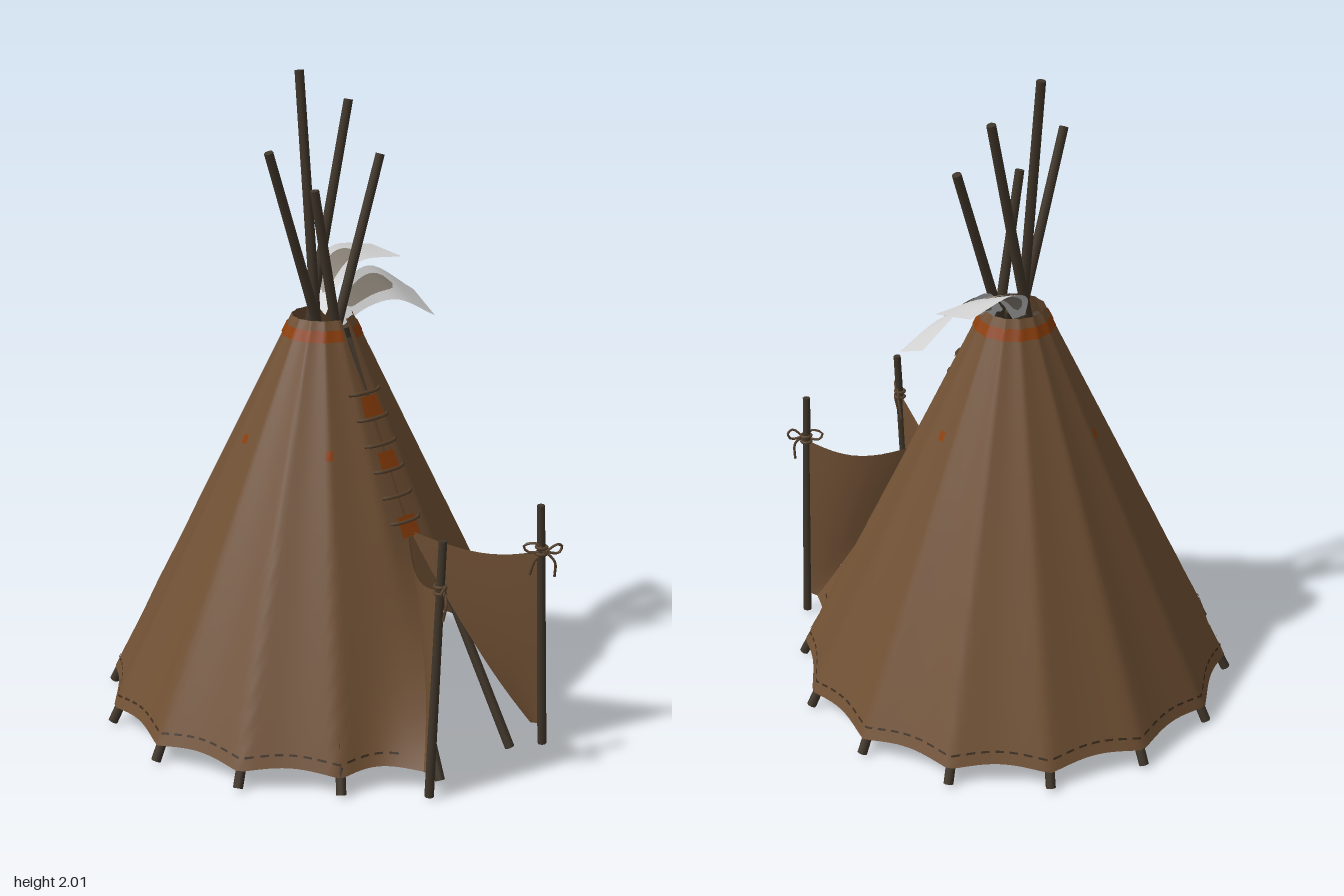
import * as THREE from 'three';
import { mergeGeometries } from 'three/addons/utils/BufferGeometryUtils.js';

const V = (x, y, z) => new THREE.Vector3(x, y, z);
const mat = (name, color, side = THREE.FrontSide) => {
  const m = new THREE.MeshStandardMaterial({ color, side });
  m.name = name;
  return m;
};

const PANELS = 14, CENTRE_Z = -0.04, Y0 = 0.05, Y1 = 1.27, DOOR_TOP = 0.66;
const FIRST_POLE = (1.5 * 2 * Math.PI) / PANELS; // first pole beside the doorway

// Half angle of the slit and doorway at a given height fraction
function openAngle(t) {
  const y = Y0 + (Y1 - Y0) * t;
  if (y < DOOR_TOP) return 0.012 + 0.318 * (DOOR_TOP - y) / (DOOR_TOP - Y0);
  return 0.012 + 0.1 * ((y - DOOR_TOP) / (Y1 - DOOR_TOP)) ** 3;
}

// Point on the hide: theta from the front towards +x, t from hem to smoke hole
function hide(theta, t, lift = 0) {
  const a = Math.abs(Math.atan2(Math.sin(theta), Math.cos(theta)));
  const sag = Math.abs(Math.cos(a * PANELS / 2));
  let f = 1 - (a < Math.PI / PANELS ? 0.02 : 0.045) * sag;
  const y = Y0 + 0.016 * sag * (1 - t) + (Y1 - Y0) * t;
  const open = Math.max(0, (DOOR_TOP - y) / (DOOR_TOP - Y0));
  if (a < FIRST_POLE && open > 0) {
    const a0 = openAngle(t);
    const w = THREE.MathUtils.clamp((a - a0) / (FIRST_POLE - a0), 0, 1);
    const pulled = 1 - 0.06 * Math.sin(Math.PI * w) + 0.055 * (1 - w) ** 2;
    f = THREE.MathUtils.lerp(f, pulled, open);
  }
  const r = (0.685 - 0.59 * t) * f + lift;
  return V(Math.sin(theta) * r, y + lift * 0.45, CENTRE_Z + Math.cos(theta) * r);
}

// Grid surface from a rule fn(u, v)
function surface(fn, nu, nv) {
  const pos = [], index = [];
  for (let j = 0; j <= nv; j++)
    for (let i = 0; i <= nu; i++) pos.push(...fn(i / nu, j / nv).toArray());
  for (let j = 0; j < nv; j++)
    for (let i = 0; i < nu; i++) {
      const a = j * (nu + 1) + i, b = a + 1, c = a + nu + 1, d = c + 1;
      index.push(a, b, d, a, d, c);
    }
  const g = new THREE.BufferGeometry();
  g.setAttribute('position', new THREE.Float32BufferAttribute(pos, 3));
  g.setIndex(index);
  g.computeVertexNormals();
  return g;
}

// Thin painted patch lying just above the hide
const patch = (a0, a1, t0, t1, n = 2, lift = 0.005) =>
  surface((u, v) => hide(a0 + (a1 - a0) * u, t0 + (t1 - t0) * v, lift), n, 1);

function rod(a, b, r0, r1 = r0) {
  const g = new THREE.CylinderGeometry(r1, r0, a.distanceTo(b), 8);
  g.applyQuaternion(new THREE.Quaternion().setFromUnitVectors(V(0, 1, 0), b.clone().sub(a).normalize()));
  return g.translate((a.x + b.x) / 2, (a.y + b.y) / 2, (a.z + b.z) / 2);
}

const tube = (pts, r, n = 12) =>
  new THREE.TubeGeometry(new THREE.CatmullRomCurve3(pts), n, r, 6);

export function createModel() {
  const D = THREE.DoubleSide;
  const hideMat = mat('brown hide', 0x705034, D);
  const wood = mat('dark wood', 0x40362a);
  const rust = mat('rust paint', 0x8c3e0a, D);
  const cord = mat('cord', 0x58422c);
  const thread = mat('dark thread', 0x3a2a1b, D);
  const cloth = mat('pale cloth', 0xd2d2d2, D);
  const taupe = mat('taupe paint', 0x8a8277, D);

  const model = new THREE.Group();
  const add = (name, geo, material) => {
    const m = new THREE.Mesh(geo, material);
    m.name = name;
    model.add(m);
  };

  // Hide cover with scalloped hem, front slit and doorway
  add('cover', surface((u, t) => {
    const a0 = openAngle(t);
    return hide(a0 + (2 * Math.PI - 2 * a0) * u, t);
  }, 168, 40), hideMat);

  // Ring of frame poles under the cover
  const frame = [];
  for (let i = 0; i < PANELS; i++) {
    const a = (i + 0.5) * 2 * Math.PI / PANELS, s = Math.sin(a), c = Math.cos(a);
    frame.push(rod(V(0.69 * s, 0, CENTRE_Z + 0.69 * c), V(0.1 * s, 1.21, CENTRE_Z + 0.1 * c), 0.015, 0.012));
  }
  add('framePoles', mergeGeometries(frame), wood);

  // Pole tips crossing in the smoke hole
  const tips = [
    [0.03, -0.06, -0.2, 1.79, -0.055], [0.02, 0.02, -0.08, 1.67, 0.012],
    [0, -0.06, 0, 2, -0.14], [-0.02, -0.1, 0.16, 1.9, -0.095], [0.0, -0.01, 0.205, 1.74, -0.002],
  ];
  add('poleTips', mergeGeometries(tips.map(([x, z, X, Y, Z]) =>
    rod(V(x, 1.14, z), V(X, Y, Z), 0.016, 0.014))), wood);

  // Door flaps, posts and tied bows
  for (const s of [1, -1]) {
    const side = s > 0 ? 'left' : 'right';
    const tTop = (DOOR_TOP - Y0) / (Y1 - Y0);
    add(side + 'DoorFlap', surface((u, v) => {
      const t = tTop * v;
      const hinge = hide(s * openAngle(t), t);
      const outer = V(s * (0.243 - 0.025 * v), 0.065 + 0.575 * v, 0.675);
      const p = hinge.lerp(outer, u), bow = Math.sin(Math.PI * u) * v;
      p.y -= 0.045 * bow;
      p.x += s * 0.025 * bow;
      return p;
    }, 12, 12), hideMat);

    add(side + 'DoorPost', rod(V(s * 0.248, 0, 0.68), V(s * 0.208, 0.79, 0.68), 0.014, 0.012), wood);

    const k = V(s * 0.217, 0.645, 0.685);
    const at = (x, y, z) => V(k.x + s * x, k.y + y, k.z + z);
    const bow = [-0.01, 0.01].map(y =>
      new THREE.TorusGeometry(0.016, 0.005, 6, 12).rotateX(Math.PI / 2).translate(k.x, k.y + y, 0.68));
    for (const d of [1, -1]) {
      bow.push(tube([at(0, 0, 0.012), at(0.02 * d, 0.025, 0.012 + 0.025 * d), at(0.04 * d, 0.015, 0.04 * d),
        at(0.03 * d, -0.005, 0.035 * d), at(0, 0, 0.012)], 0.004));
      bow.push(tube([at(0, 0, 0.012), at(0.015 * d, -0.03, 0.01 + 0.025 * d), at(0.022 * d, -0.08, 0.03 * d)], 0.004));
    }
    add(side + 'Bow', mergeGeometries(bow), cord);
  }

  // Curved lacing pins across the front seam
  const pins = [];
  for (let i = 0; i < 6; i++) {
    const p = hide(0, (0.69 + 0.074 * i - Y0) / (Y1 - Y0));
    pins.push(tube([V(-0.064, p.y, p.z - 0.01), V(-0.035, p.y + 0.003, p.z + 0.01),
      V(0.035, p.y + 0.003, p.z + 0.01), V(0.064, p.y, p.z - 0.01)], 0.006));
  }
  add('lacingPins', mergeGeometries(pins), cord);

  // Rust paint: seam squares, collar band and dots
  const paint = [0.675, 0.86, 1.02].map(y => {
    const t = (y - Y0) / (Y1 - Y0), a = 0.035 / (0.685 - 0.59 * t);
    return patch(-a, a, t - 0.024, t + 0.024, 6);
  });
  paint.push(patch(0.2, 2 * Math.PI - 0.2, 0.95, 0.977, 84, 0.003));
  for (const deg of [321, 77, 255, 195]) {
    const a = THREE.MathUtils.degToRad(deg);
    paint.push(patch(a - 0.045, a + 0.045, 0.687, 0.709));
  }
  add('rustPaint', mergeGeometries(paint), rust);

  // Dashed stitching along the hem
  const dashes = [];
  const count = 84, start = 0.38, step = (2 * Math.PI - 2 * start) / count;
  for (let i = 0; i < count; i++) {
    const a = start + i * step;
    dashes.push(patch(a, a + step * 0.6, 0.026, 0.031, 2, 0.003));
  }
  add('hemStitches', mergeGeometries(dashes), thread);

  // Curling smoke flaps, each ruled between a back and a front edge
  const smokeFlaps = {
    backSmokeFlap: [
      [V(0.04, 1.28, -0.12), V(0.1, 1.375, -0.18), V(0.2, 1.42, -0.205), V(0.36, 1.4, -0.2)],
      [V(0.04, 1.25, -0.07), V(0.11, 1.335, -0.08), V(0.22, 1.385, -0.1), V(0.37, 1.38, -0.07)]],
    frontSmokeFlap: [
      [V(0.04, 1.27, -0.03), V(0.12, 1.355, -0.05), V(0.24, 1.372, -0.075), V(0.405, 1.27, -0.05)],
      [V(0.05, 1.23, 0), V(0.13, 1.275, 0.02), V(0.24, 1.285, 0.04), V(0.375, 1.215, 0.075)]],
  };
  for (const [name, edges] of Object.entries(smokeFlaps)) {
    const [back, front] = edges.map(e => new THREE.CatmullRomCurve3(e));
    const point = (u, v) => back.getPoint(u).lerp(front.getPoint(u), v);
    add(name, surface(point, 16, 4), cloth);
    const marks = [0.004, -0.004].map(lift => surface((u, v) => {
      const half = 0.27 * Math.sqrt(Math.max(0, 1 - (2 * u - 1) ** 4));
      const p = point(0.14 + 0.6 * u, 0.5 + (2 * v - 1) * half);
      return p.add(V(0, lift, lift * 0.5));
    }, 14, 2));
    add(name + 'Mark', mergeGeometries(marks), taupe);
  }
  return model;
}
